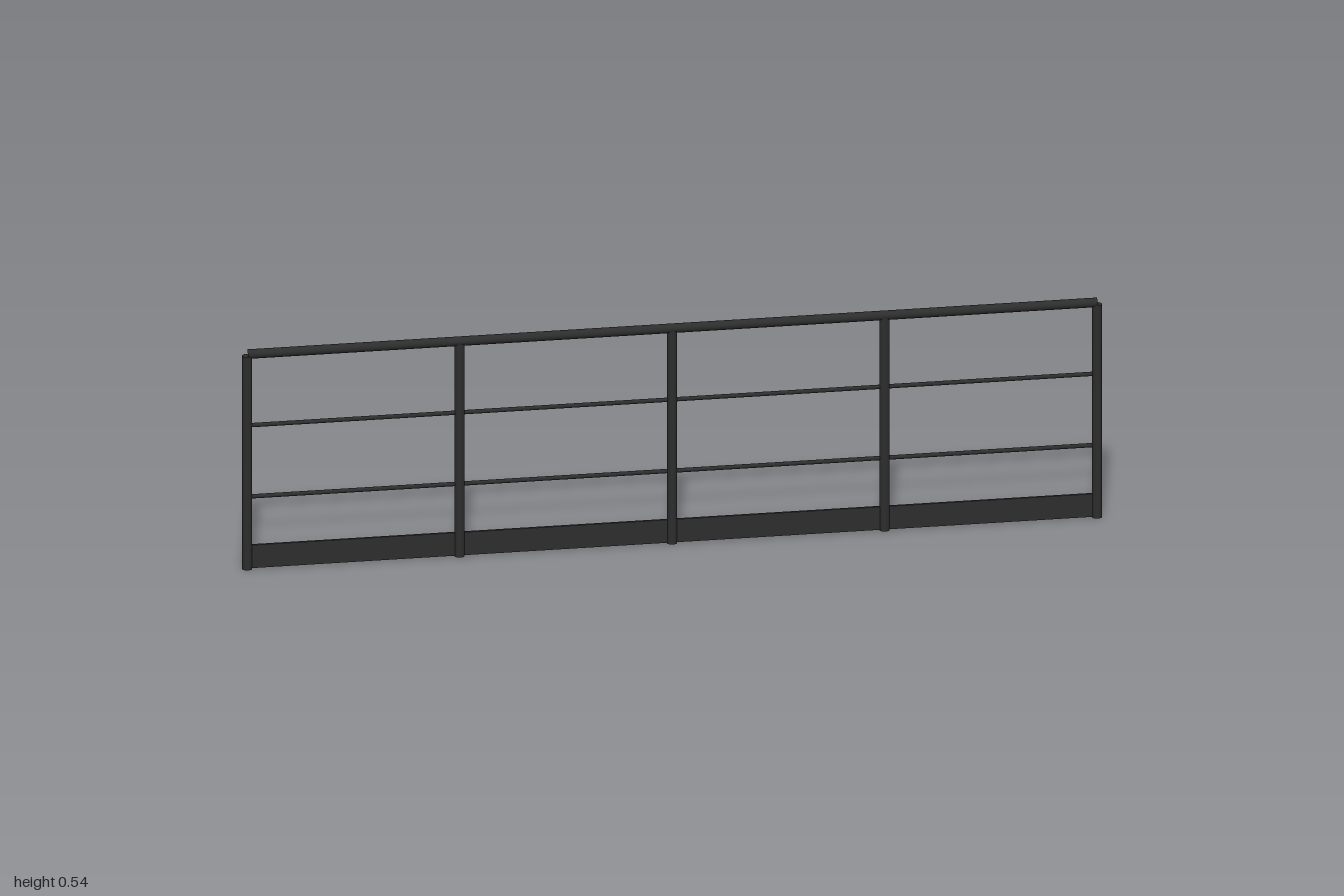
import * as THREE from 'three';

export function createModel() {
  const group = new THREE.Group();
  group.name = 'guardRailing';
  const metal = new THREE.MeshStandardMaterial({ color: 0x2d2d2d });
  metal.name = 'darkMetal';

  const halfSpan = 0.988; // centre of the end posts
  const postRadius = 0.012;
  const postHeight = 0.52;

  const add = (name, geometry, x, y) => {
    const mesh = new THREE.Mesh(geometry, metal);
    mesh.name = name;
    mesh.position.set(x, y, 0);
    group.add(mesh);
  };

  // Horizontal tube from end post to end post, open at its ends
  const addRail = (name, radius, y) => {
    const tube = new THREE.CylinderGeometry(radius, radius, halfSpan * 2, 16, 1, true);
    add(name, tube.rotateZ(Math.PI / 2), 0, y);
  };

  // Five evenly spaced round posts
  for (let i = -2; i <= 2; i++) {
    const post = new THREE.CylinderGeometry(postRadius, postRadius, postHeight, 16);
    add('post', post, (i * halfSpan) / 2, postHeight / 2);
  }

  // Handrail resting on the posts, and two thin rails below
  addRail('handrail', 0.011, 0.524);
  addRail('upperMidRail', 0.005, 0.35);
  addRail('lowerMidRail', 0.005, 0.176);

  // Flat kick plate along the foot
  add('toeBoard', new THREE.BoxGeometry(halfSpan * 2, 0.056, 0.007), 0, 0.03);

  return group;
}
